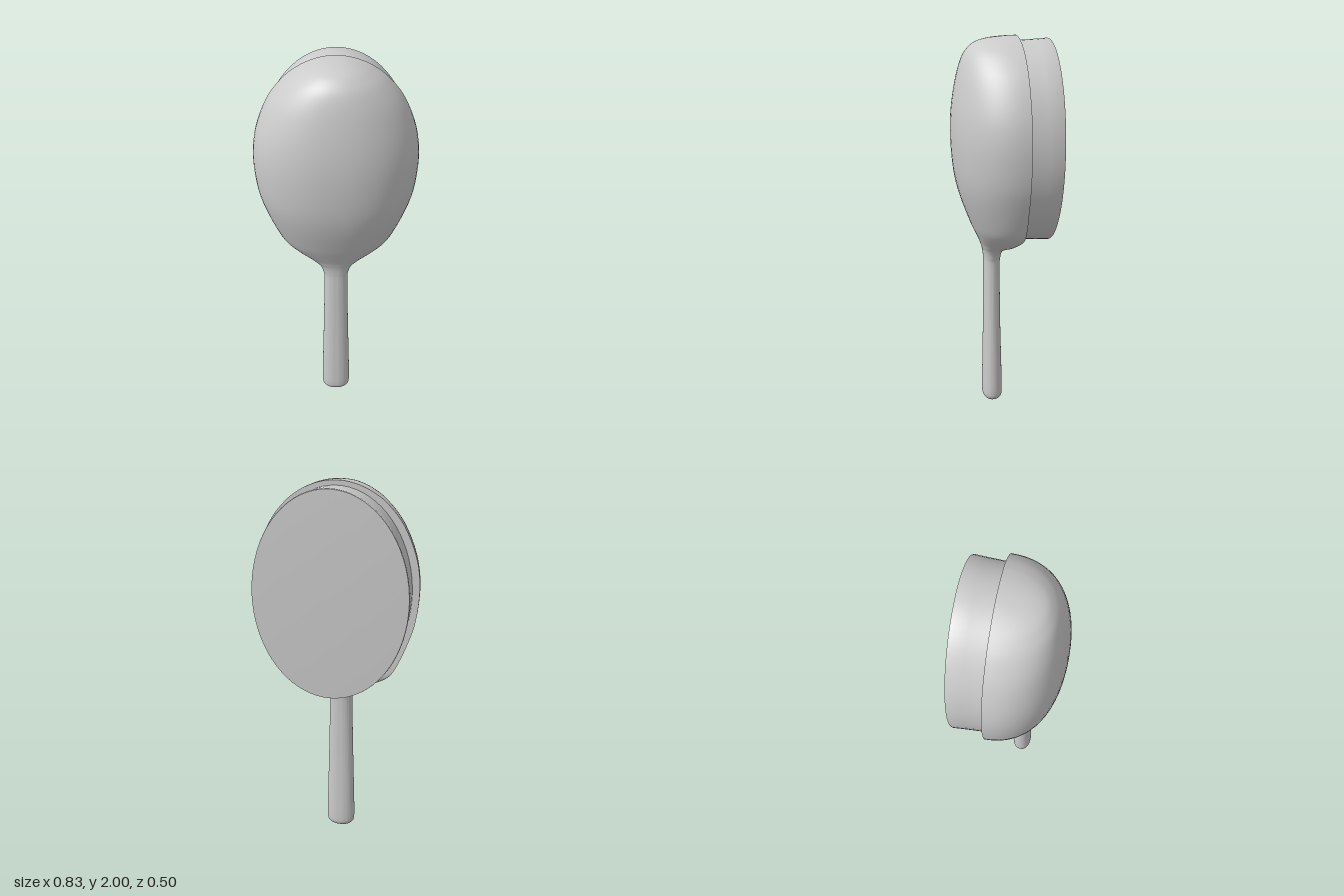
import * as THREE from 'three';
import { toCreasedNormals } from 'three/addons/utils/BufferGeometryUtils.js';

const material = new THREE.MeshStandardMaterial({ color: 0xcccccc });

// Cross-sections up the body: y, half width, front z, z of the widest line, back z
const sections = [
  [0.005, 0, 0.045, 0.045, 0.045],
  [0.008, 0.04, 0.075, 0.045, 0.018],
  [0.025, 0.068, 0.093, 0.045, -0.003],
  [0.06, 0.078, 0.1, 0.045, -0.009],
  [0.2, 0.076, 0.098, 0.045, -0.007],
  [0.5, 0.068, 0.092, 0.045, 0],
  [0.8, 0.062, 0.089, 0.045, 0.002],
  [0.86, 0.068, 0.09, 0.042, -0.002],
  [0.9, 0.088, 0.095, 0.03, -0.012],
  [0.925, 0.122, 0.102, 0.01, -0.035],
  [0.945, 0.16, 0.109, -0.025, -0.08],
  [1.0, 0.25, 0.134, -0.07, -0.08],
  [1.06, 0.302, 0.16, -0.08, -0.08],
  [1.2, 0.362, 0.21, -0.08, -0.08],
  [1.33, 0.4, 0.238, -0.08, -0.08],
  [1.5, 0.414, 0.25, -0.08, -0.08],
  [1.65, 0.392, 0.243, -0.08, -0.08],
  [1.8, 0.328, 0.218, -0.08, -0.08],
  [1.9, 0.246, 0.187, -0.08, -0.08],
  [1.95, 0.178, 0.15, -0.08, -0.08],
  [1.975, 0.126, 0.11, -0.08, -0.08],
  [1.99, 0.08, 0.05, -0.08, -0.08],
  [1.998, 0.036, -0.03, -0.08, -0.08],
  [2.0, 0, -0.08, -0.08, -0.08],
];

// Smooth loft through the sections; each ring is a soft superellipse
function loftBody() {
  const steps = 4, sides = 64, power = 2 / 2.2;
  const curve = new THREE.CubicInterpolant(sections.map((_, i) => i), sections.flat(), 5);
  const rings = (sections.length - 1) * steps;
  const positions = [], index = [];
  const soft = (v) => Math.sign(v) * Math.abs(v) ** power;
  for (let i = 0; i <= rings; i++) {
    const [y, w, front, mid, back] = curve.evaluate(i / steps);
    for (let j = 0; j < sides; j++) {
      const a = (j / sides) * Math.PI * 2;
      const s = soft(Math.sin(a));
      const depth = s > 0 ? front - mid : mid - back;
      positions.push(w * soft(Math.cos(a)), y, mid + depth * s);
      if (i === rings) continue;
      const p = i * sides + j, q = i * sides + ((j + 1) % sides);
      index.push(q, p, p + sides, q, p + sides, q + sides);
    }
  }
  const geometry = new THREE.BufferGeometry();
  geometry.setAttribute('position', new THREE.Float32BufferAttribute(positions, 3));
  geometry.setIndex(index);
  return toCreasedNormals(geometry, 0.75);
}

// Oval block on the back of the head, flaring slightly outward
function padGeometry() {
  const profile = [[0.975, 0.06], [0.978, 0.1], [0.985, 0.17], [0.995, 0.238], [0.99, 0.245], [0.7, 0.249], [0, 0.25]]
    .map(([r, d]) => new THREE.Vector2(r, d));
  const geometry = new THREE.LatheGeometry(profile, 72);
  geometry.scale(0.387, 1, 0.521);
  geometry.rotateX(-Math.PI / 2);
  geometry.translate(0, 1.467, 0);
  return toCreasedNormals(geometry, 0.6);
}

export function createModel() {
  const group = new THREE.Group();
  group.name = 'hairbrush';
  const add = (name, geometry) => {
    const mesh = new THREE.Mesh(geometry, material);
    mesh.name = name;
    group.add(mesh);
  };
  add('handleAndHead', loftBody());
  add('bristlePad', padGeometry());
  return group;
}
